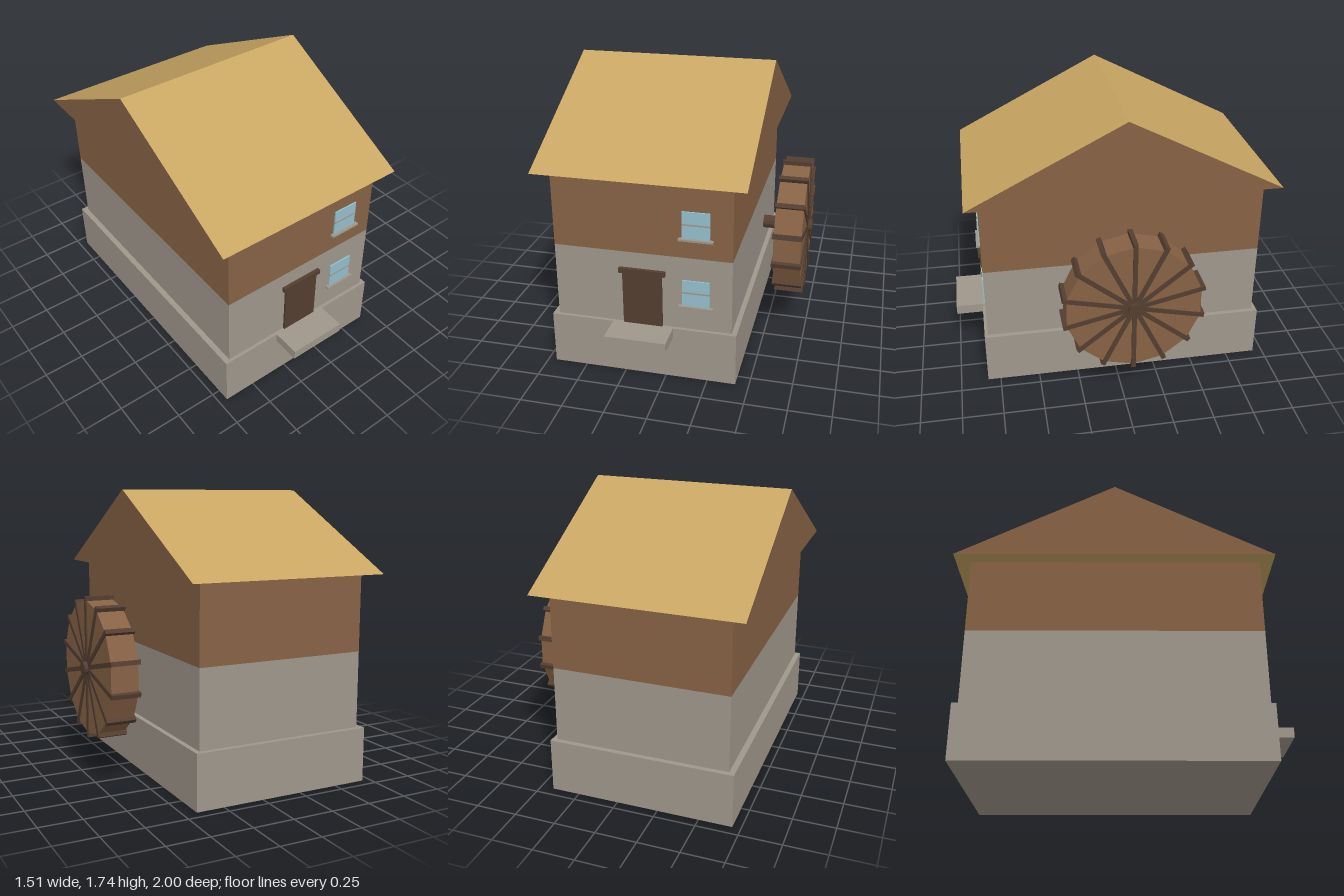
import * as THREE from 'three';

const mat = (name, color, flat = false) => {
  const m = new THREE.MeshStandardMaterial({ color, flatShading: flat });
  m.name = name;
  return m;
};

export function createModel() {
  const stone = mat('stone', 0x9f978b);
  const wood = mat('wood', 0x876245, true);
  const darkWood = mat('darkWood', 0x543e31, true);
  const thatch = mat('thatch', 0xc8a562);
  const glass = mat('glass', 0x94c0ce);

  const mill = new THREE.Group();
  mill.name = 'watermill';

  const add = (name, geometry, material, parent = mill) => {
    const mesh = new THREE.Mesh(geometry, material);
    mesh.name = name;
    parent.add(mesh);
    return mesh;
  };
  // Box given by its extents on each axis
  const box = (name, material, [x0, x1], [y0, y1], [z0, z1], parent) => {
    const g = new THREE.BoxGeometry(x1 - x0, y1 - y0, z1 - z0);
    g.translate((x0 + x1) / 2, (y0 + y1) / 2, (z0 + z1) / 2);
    return add(name, g, material, parent);
  };

  // Foundation and two-storey walls
  box('foundation', stone, [-0.7, 0.42], [0, 0.33], [-0.94, 0.83]);
  box('lowerWalls', stone, [-0.665, 0.39], [0.33, 0.79], [-0.91, 0.81]);
  box('upperWalls', wood, [-0.665, 0.39], [0.79, 1.25], [-0.91, 0.81]);

  // Gabled roof: wooden gable ends, thatched slopes and underside
  const gable = new THREE.Shape([
    new THREE.Vector2(-1, 1.25),
    new THREE.Vector2(0.89, 1.25),
    new THREE.Vector2(-0.055, 1.735),
  ]);
  const roof = new THREE.ExtrudeGeometry(gable, { depth: 1.23, bevelEnabled: false });
  roof.rotateY(-Math.PI / 2).translate(0.475, 0, 0);
  add('roof', roof, [wood, thatch]);

  // Doorway
  box('doorStep', stone, [-0.32, 0.045], [0.27, 0.33], [0.83, 1]);
  box('door', darkWood, [-0.255, -0.02], [0.33, 0.66], [0.81, 0.824]);
  box('doorLintel', darkWood, [-0.275, 0], [0.66, 0.69], [0.81, 0.832]);

  // Windows, one on each floor
  for (const [name, y] of [['lowerWindow', 0.487], ['upperWindow', 0.915]]) {
    const w = new THREE.Group();
    w.name = name;
    mill.add(w);
    box('pane', glass, [0.1, 0.26], [y, y + 0.162], [0.81, 0.819], w);
    box('crossbar', stone, [0.1, 0.26], [y + 0.08, y + 0.089], [0.81, 0.822], w);
    box('sill', stone, [0.08, 0.28], [y - 0.012, y], [0.81, 0.835], w);
  }

  // Water wheel turning about the x axis
  const wheel = new THREE.Group();
  wheel.name = 'waterWheel';
  wheel.position.set(0.635, 0.662, -0.055);
  mill.add(wheel);
  const disc = (r, length, sides) =>
    new THREE.CylinderGeometry(r, r, length, sides).rotateZ(Math.PI / 2).rotateX(Math.PI / 2);
  add('drum', disc(0.413, 0.168, 14), wood, wheel);
  add('axle', disc(0.041, 0.315, 12), darkWood, wheel).position.x = -0.042;
  // Each board spans the wheel, giving two spokes and two paddles
  for (let i = 0; i < 7; i++) {
    const board = add('paddleBoard', new THREE.BoxGeometry(0.182, 0.872, 0.028), darkWood, wheel);
    board.rotation.x = (i * Math.PI) / 7;
  }

  return mill;
}
